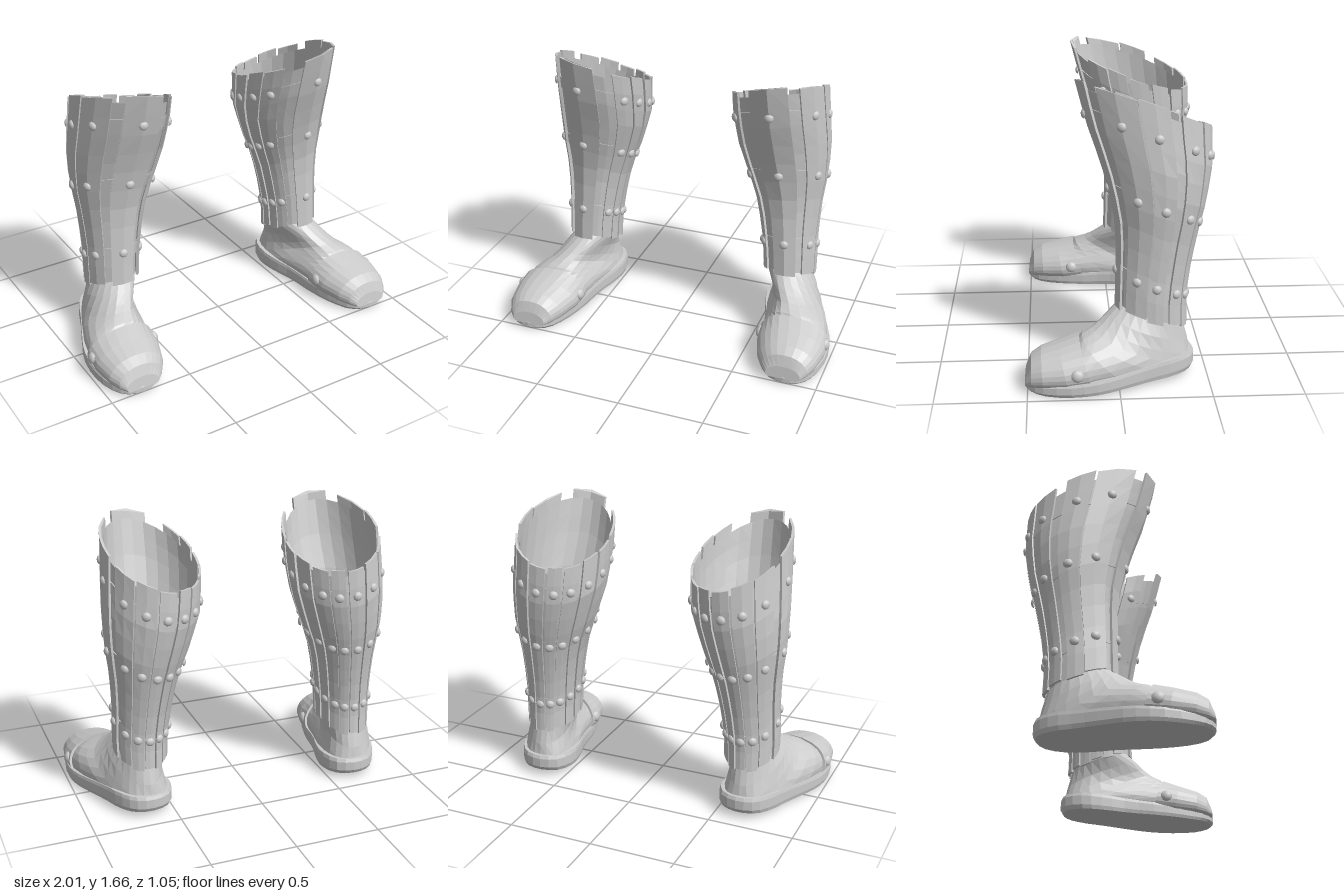
import * as THREE from 'three';

const metal = new THREE.MeshStandardMaterial({ color: 0xcccccc, flatShading: true, side: THREE.DoubleSide });
const rivetMat = new THREE.MeshStandardMaterial({ color: 0xcccccc });
const SIDES = 24, TAU = Math.PI * 2, rad = THREE.MathUtils.degToRad;

// Linear lookup in rows sorted by their first number; returns the other columns
function lookup(rows, k) {
  let i = 0;
  while (i < rows.length - 2 && k > rows[i + 1][0]) i++;
  const f = THREE.MathUtils.clamp((k - rows[i][0]) / (rows[i + 1][0] - rows[i][0]), 0, 1);
  return rows[i].slice(1).map((v, c) => v + (rows[i + 1][c + 1] - v) * f);
}

// Shaft: height, centre x, centre z, half width, half depth
const SHAFT = [
  [0.3, 0.645, -0.185, 0.131, 0.18], [0.45, 0.643, -0.185, 0.136, 0.175], [0.6, 0.632, -0.195, 0.142, 0.182],
  [0.8, 0.617, -0.215, 0.166, 0.2], [0.9, 0.607, -0.224, 0.187, 0.217], [1.0, 0.594, -0.228, 0.214, 0.239],
  [1.2, 0.565, -0.218, 0.248, 0.28], [1.4, 0.55, -0.18, 0.25, 0.312], [1.65, 0.542, -0.145, 0.24, 0.345],
];
// Foot rings from ankle to toe: top z, y, bottom z, y, half width, squareness of the lower half (1 = round)
const FOOT = [
  [0.05, 0.37, -0.393, 0.2, 0.137, 1], [0.1, 0.33, -0.405, 0.12, 0.148, 0.85],
  [0.14, 0.305, -0.38, 0.07, 0.162, 0.7], [0.17, 0.29, -0.22, 0.07, 0.18, 0.55],
  [0.2, 0.275, -0.02, 0.065, 0.191, 0.45], [0.215, 0.256, 0.15, 0.06, 0.193, 0.4],
  [0.32, 0.225, 0.28, 0.05, 0.189, 0.4], [0.41, 0.196, 0.4, 0.045, 0.158, 0.4],
  [0.465, 0.163, 0.465, 0.04, 0.122, 0.4], [0.488, 0.1, 0.5, 0.04, 0.088, 0.4],
];
// Foot centre line: z, x
const FOOT_X = [[-0.4, 0.645], [-0.28, 0.662], [-0.12, 0.705], [0, 0.745], [0.14, 0.778], [0.27, 0.787], [0.5, 0.805]];
// Sole outline x, z
const SOLE = [
  [0.64, -0.43], [0.74, -0.405], [0.81, -0.32], [0.865, -0.18], [0.93, -0.03], [0.978, 0.1], [0.992, 0.25], [0.955, 0.41],
  [0.89, 0.495], [0.8, 0.515], [0.705, 0.48], [0.635, 0.36], [0.585, 0.2], [0.55, 0], [0.505, -0.15], [0.49, -0.28], [0.535, -0.39],
];
// Splint plates: start and end angle in degrees from the front, positive outward
const PLATES = [
  [-18, 29], [44, 80], [82, 107], [118, 142], [145, 168], [171, 191],
  [195, 211], [214, 232], [236, 254], [258, 276], [280, 297], [299, 320],
];
const RIVET_LEVELS = [0.85, 0.525, 0.155];

// Point on the slanted shaft: a = angle, t = 0 at the ankle to 1 at the rim
function shaftPoint(a, t, off = 0) {
  const c = Math.cos(a), s = Math.sin(a);
  const top = 1.523 + 0.13 * c + 0.058 * s, bottom = 0.36 + 0.06 * c;
  const y = bottom + (top - bottom) * t;
  const [cx, cz, rx, rz] = lookup(SHAFT, y);
  return new THREE.Vector3(cx + (rx + off) * s, y, cz + (rz + off) * c);
}

function footRing([tz, ty, bz, by, w, e], off = 0) {
  return Array.from({ length: SIDES }, (_, i) => {
    const a = i / SIDES * TAU, c = Math.cos(a), s = Math.sin(a);
    const k = Math.pow((1 + c) / 2, 2 - e);
    const y = by + (ty + off - by) * k;
    const z = bz + (tz - bz) * k + (bz > 0.3 ? off : 0);
    const blend = 1 - THREE.MathUtils.smoothstep(y, 0.2, 0.45);
    const cx = 0.645 + (lookup(FOOT_X, z)[0] - 0.645) * blend;
    const f = Math.sign(s) * Math.pow(Math.abs(s), c < 0 ? e : 0.85);
    return new THREE.Vector3(cx + (w + off) * f, y, z);
  });
}

// Skin over closed rings of points; optional fans close the first and last ring
function loft(rings, side, capStart, capEnd) {
  const n = rings[0].length, pts = rings.flat(), index = [];
  const tri = (a, b, c) => (side > 0 ? index.push(a, b, c) : index.push(a, c, b));
  for (let i = 0; i < rings.length - 1; i++) {
    for (let j = 0; j < n; j++) {
      const k = (j + 1) % n, a = i * n + j, b = a + n, c = (i + 1) * n + k, d = i * n + k;
      tri(a, b, c);
      tri(a, c, d);
    }
  }
  const fan = (ring, start, first) => {
    const mid = ring.reduce((m, p) => m.add(p), new THREE.Vector3()).divideScalar(n);
    const m = pts.push(mid) - 1;
    for (let j = 0; j < n; j++) {
      const a = start + j, b = start + (j + 1) % n;
      first ? tri(m, a, b) : tri(m, b, a);
    }
  };
  if (capStart) fan(rings[0], 0, true);
  if (capEnd) fan(rings[rings.length - 1], (rings.length - 1) * n, false);
  const geo = new THREE.BufferGeometry().setFromPoints(pts.map(p => new THREE.Vector3(p.x * side, p.y, p.z)));
  geo.setIndex(index);
  geo.computeVertexNormals();
  return geo;
}

function makeBoot(side) {
  const boot = new THREE.Group();
  const add = (name, geo, mat = metal) => {
    const mesh = new THREE.Mesh(geo, mat);
    mesh.name = name;
    boot.add(mesh);
    return mesh;
  };
  const shaftRing = (t, off) => Array.from({ length: SIDES }, (_, i) => shaftPoint(i / SIDES * TAU, t, off));
  const rivet = (p, normal, r) => {
    const mesh = add('rivet', new THREE.SphereGeometry(r, 10, 4, 0, TAU, 0, Math.PI / 2), rivetMat);
    mesh.scale.y = 0.65;
    mesh.position.set(p.x * side, p.y, p.z);
    normal.x *= side;
    mesh.quaternion.setFromUnitVectors(new THREE.Vector3(0, 1, 0), normal.normalize());
  };

  // Shaft and foot in one skin, open at the rim
  const rings = [];
  for (let i = 0; i <= 12; i++) rings.push(shaftRing(0.96 * (1 - i / 12), 0));
  FOOT.forEach(r => rings.push(footRing(r)));
  add('bootUpper', loft(rings, side, false, true));

  // Toe cap with a raised back edge
  const toe = FOOT.slice(5);
  add('toeCap', loft([footRing(toe[0]), ...toe.map(r => footRing(r, 0.014))], side, false, true));
  rivet(new THREE.Vector3(0.982, 0.135, 0.23), new THREE.Vector3(1, 0.15, 0), 0.036);
  rivet(new THREE.Vector3(0.586, 0.135, 0.23), new THREE.Vector3(-1, 0.15, 0), 0.036);

  // Sole, thicker and raised toward the heel
  const outline = new THREE.CatmullRomCurve3(SOLE.map(([x, z]) => new THREE.Vector3(x, 0, z)).reverse(), true)
    .getPoints(36).slice(0, 36);
  const mid = new THREE.Vector3(0.74, 0, 0.03);
  const soleRing = (scale, h) => outline.map(p => {
    const q = p.clone().sub(mid).multiplyScalar(scale).add(mid);
    const low = 0.003 + 0.04 * THREE.MathUtils.clamp((0.4 - p.z) / 0.83, 0, 1);
    const high = 0.058 + 0.082 * THREE.MathUtils.clamp((0.51 - p.z) / 0.82, 0, 1);
    return q.setY(low + (high - low) * h);
  });
  add('sole', loft([soleRing(0.9, 1), soleRing(0.98, 1), soleRing(1, 0.8), soleRing(1, 0.25), soleRing(0.97, 0)],
    side, true, true));

  // Straps behind the plates
  for (const t of RIVET_LEVELS) {
    const profile = [[0.03, 0.004], [0.03, 0.009], [-0.03, 0.009], [-0.03, 0.004]];
    add('strap', loft(profile.map(([d, off]) => shaftRing(t + d, off)), side));
  }

  // Riveted splint plates
  PLATES.forEach(([from, to], n) => {
    const steps = 2, plate = [];
    const top = 1 - 0.008 * (n % 2), bottom = n % 2 ? 0 : -0.012;
    for (let i = 0; i <= 10; i++) {
      const t = top + (bottom - top) * i / 10, ring = [];
      for (let j = 0; j <= steps; j++) ring.push(shaftPoint(rad(from + (to - from) * j / steps), t, 0.024));
      for (let j = steps; j >= 0; j--) ring.push(shaftPoint(rad(from + (to - from) * j / steps), t, 0.01));
      plate.push(ring);
    }
    add('splintPlate', loft(plate, side, true, true));
    const a = rad((from + to) / 2);
    for (const t of RIVET_LEVELS) {
      const p = shaftPoint(a, t, 0.022), [, , rx, rz] = lookup(SHAFT, p.y);
      rivet(p, new THREE.Vector3(Math.sin(a) / rx, 0, Math.cos(a) / rz), 0.027);
    }
  });
  return boot;
}

export function createModel() {
  const model = new THREE.Group();
  model.name = 'armouredBoots';
  for (const side of [1, -1]) {
    const boot = makeBoot(side);
    boot.name = side > 0 ? 'leftBoot' : 'rightBoot';
    model.add(boot);
  }
  return model;
}
